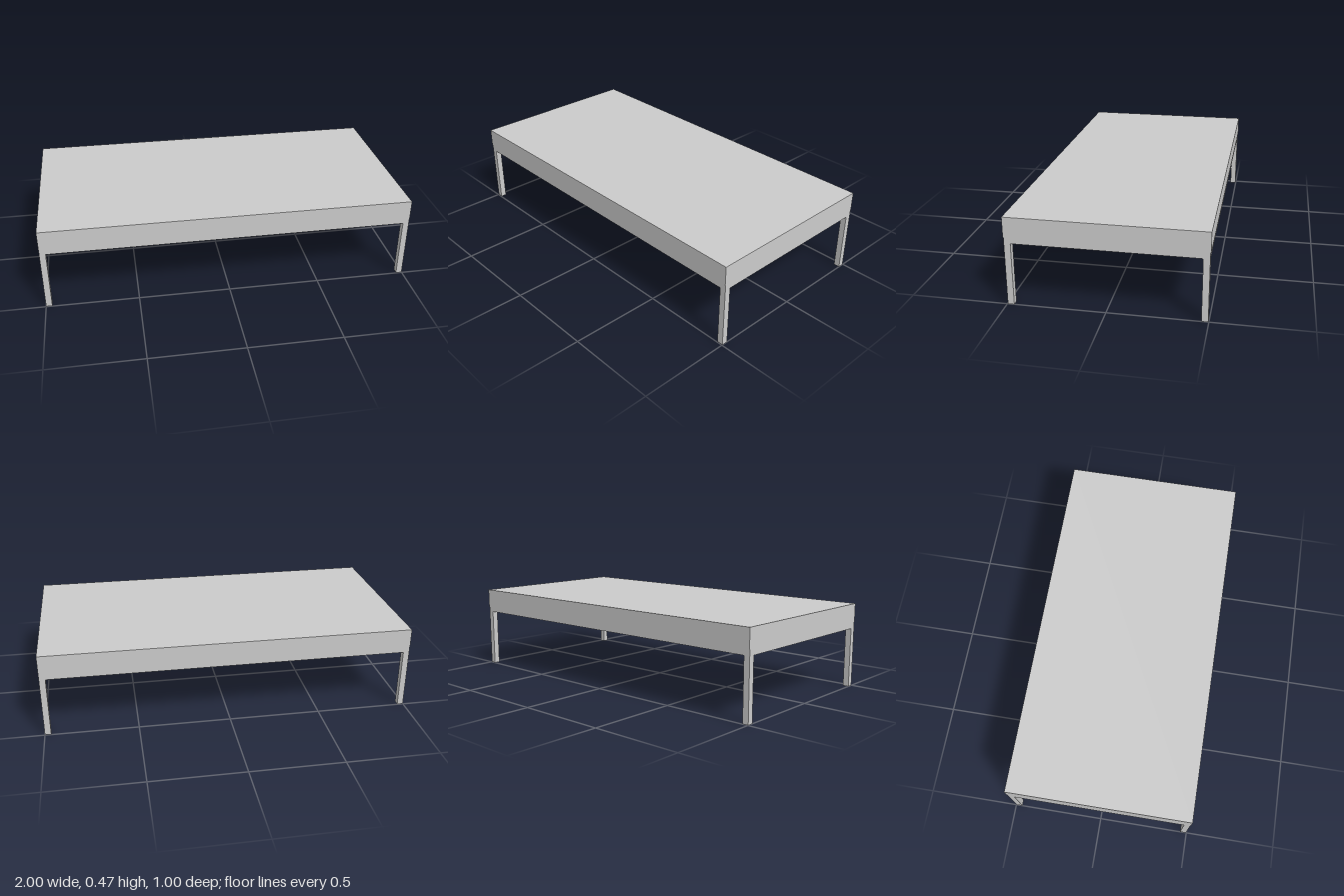
import * as THREE from 'three';

const material = new THREE.MeshStandardMaterial({ color: 0xcccccc });

// Axis-aligned box given its size and centre
function box(name, [w, h, d], [x, y, z]) {
  const mesh = new THREE.Mesh(new THREE.BoxGeometry(w, h, d), material);
  mesh.name = name;
  mesh.position.set(x, y, z);
  return mesh;
}

export function createModel() {
  const group = new THREE.Group();
  group.name = 'lowTable';

  const height = 0.465, under = 0.362; // top and underside of the slab
  const bar = 0.033; // square section of legs and rails
  const legX = 1 - bar / 2, legZ = 0.497 - bar / 2;

  // Thick slab top
  group.add(box('tableTop', [2, height - under, 1], [0, (height + under) / 2, 0]));

  // Corner legs
  for (const sx of [-1, 1]) {
    for (const sz of [-1, 1]) {
      group.add(box('leg', [bar, under, bar], [sx * legX, under / 2, sz * legZ]));
    }
  }

  // Rails between the legs, directly under the slab
  const railY = under - bar / 2;
  for (const s of [-1, 1]) {
    group.add(box('longRail', [2 * legX - bar, bar, bar], [0, railY, s * legZ]));
    group.add(box('shortRail', [bar, bar, 2 * legZ - bar], [s * legX, railY, 0]));
  }
  return group;
}
